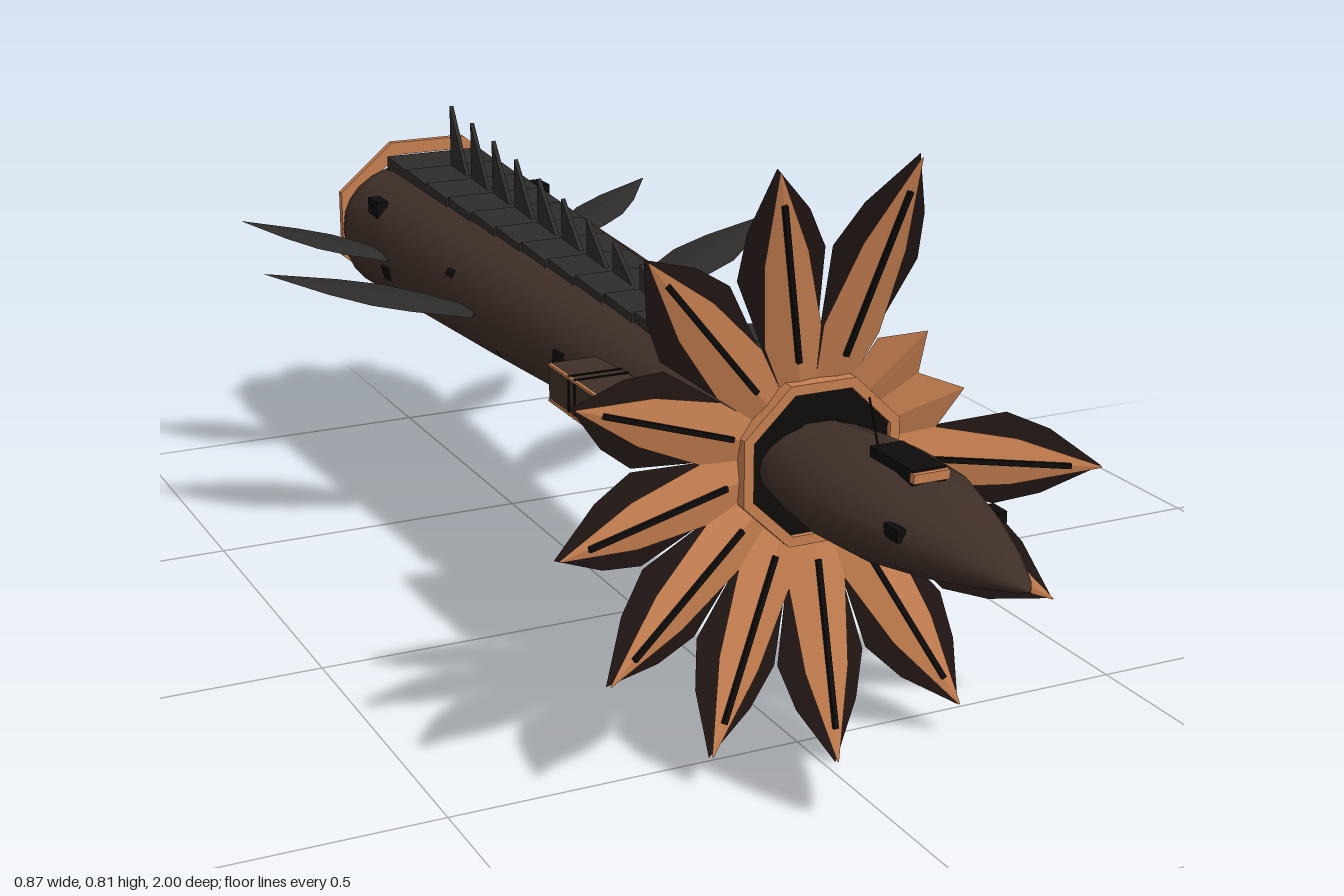
import * as THREE from 'three';

const AXIS = 0.405; // height of the hull's long axis
const paint = (color, flat = true) =>
  new THREE.MeshStandardMaterial({ color, flatShading: flat, side: THREE.DoubleSide });
const hullMat = paint(0x3f2f28, false);
const podMat = paint(0x3f2f28);
const copper = paint(0xc67f50);
const plate = paint(0x2d2c2b);
const shell = paint(0x201513);
const black = paint(0x0e0c0b);

// Hull stations: z, half width, bottom y, top y
const HULL = [
  [-0.9, 0.163, 0.292, 0.515], [-0.85, 0.177, 0.285, 0.52], [-0.6, 0.169, 0.294, 0.515],
  [-0.3, 0.156, 0.306, 0.503], [0, 0.138, 0.319, 0.49], [0.25, 0.112, 0.335, 0.474], [0.5, 0.083, 0.353, 0.452],
];
const NOSE = [
  [0.5, 0.085, 0.353, 0.455], [0.57, 0.098, 0.346, 0.463], [0.65, 0.105, 0.342, 0.469], [0.74, 0.097, 0.345, 0.47],
  [0.84, 0.07, 0.361, 0.454], [0.92, 0.042, 0.38, 0.434], [0.98, 0.015, 0.396, 0.415], [1, 0.001, 0.404, 0.406],
];

function add(parent, name, geometry, material, x = 0, y = 0, z = 0) {
  const mesh = new THREE.Mesh(geometry, material);
  mesh.name = name;
  mesh.position.set(x, y, z);
  parent.add(mesh);
  return mesh;
}
const box = (w, h, d) => new THREE.BoxGeometry(w, h, d);

// Skin over stations [z, half width, bottom, top]; power 2 is an ellipse, 1 a diamond
function loft(stations, sides, power = 2) {
  const pos = [], idx = [];
  const curve = (v) => Math.sign(v) * Math.pow(Math.abs(v), 2 / power);
  for (const [z, w, lo, hi] of stations) {
    for (let j = 0; j < sides; j++) {
      const t = (j / sides) * Math.PI * 2;
      pos.push(w * curve(Math.cos(t)), (lo + hi) / 2 + ((hi - lo) / 2) * curve(Math.sin(t)), z);
    }
  }
  for (let i = 0; i + 1 < stations.length; i++) {
    for (let j = 0; j < sides; j++) {
      const k = (j + 1) % sides, a = i * sides, b = a + sides;
      idx.push(a + j, a + k, b + k, a + j, b + k, b + j);
    }
  }
  const g = new THREE.BufferGeometry();
  g.setAttribute('position', new THREE.Float32BufferAttribute(pos, 3));
  g.setIndex(idx);
  g.computeVertexNormals();
  return g;
}

// Creased leaf along +x from [radius, half width] pairs, leaning forward as it grows
function leaf(profile, lift, length = 1) {
  const pos = [], idx = [];
  for (const [r, w] of profile) {
    const z = 0.502 + (r - 0.1) * 0.255 + lift;
    pos.push(r * length, -w, z - w * 0.2, r * length, 0, z, r * length, w, z - w * 0.2);
  }
  for (let i = 0; i + 1 < profile.length; i++) {
    for (let j = 0; j < 2; j++) {
      const a = i * 3 + j, b = a + 3;
      idx.push(a, b, b + 1, a, b + 1, a + 1);
    }
  }
  const g = new THREE.BufferGeometry();
  g.setAttribute('position', new THREE.Float32BufferAttribute(pos, 3));
  g.setIndex(idx);
  g.computeVertexNormals();
  return g;
}

// Eight-sided flat-topped band around the z axis
function band(outer, inner, depth) {
  const d = depth / 2;
  const p = [[inner, -d], [outer, -d], [outer, d], [inner, d], [inner, -d]].map(([x, y]) => new THREE.Vector2(x, y));
  return new THREE.LatheGeometry(p, 8, Math.PI / 8).rotateX(Math.PI / 2);
}

// Interpolated hull station
function hullAt(z) {
  let i = 0;
  while (i < HULL.length - 2 && HULL[i + 1][0] < z) i++;
  const a = HULL[i], b = HULL[i + 1], t = (z - a[0]) / (b[0] - a[0]);
  return a.map((v, k) => v + (b[k] - v) * t);
}

function addPetals(ship) {
  const step = (Math.PI * 2) / 13;
  for (let k = 0; k < 13; k++) {
    const petal = new THREE.Group();
    petal.name = 'petal' + (k + 1);
    petal.position.y = AXIS;
    petal.rotation.z = -Math.PI / 2 + k * step;
    ship.add(petal);
    if (k === 4 || k === 5) { // two snapped petals
      add(petal, 'brokenPetal', leaf([[0.1, 0.027], [0.17, 0.042], [0.217, 0]], 0.005), copper);
      continue;
    }
    const length = k >= 6 && k <= 8 ? 1.045 : 1;
    add(petal, 'petalShell', leaf([[0.09, 0.022], [0.18, 0.044], [0.27, 0.064], [0.33, 0.045], [0.402, 0]], -0.004, length), shell);
    add(petal, 'petalPanel', leaf([[0.1, 0.026], [0.17, 0.042], [0.28, 0.032], [0.398, 0.001]], 0.005, length), copper);
    const rib = add(petal, 'petalRib', box(0.225 * length, 0.007, 0.006), black, 0.245 * length, 0, 0.546);
    rib.rotation.y = -Math.atan(0.255 / length);
  }
}

function addDorsal(ship) {
  // Overlapping back plates
  const count = 12, from = 0.26, len = 1.14 / count;
  for (let i = 0; i < count; i++) {
    const t = (i + 0.5) / count, z = from - len * (i + 0.5);
    const seg = add(ship, 'backPlate', box(0.1 + 0.07 * Math.min(1, t * 1.3), 0.032, len * 1.02), plate, 0, 0.47 + 0.043 * t, z);
    seg.rotation.x = 0.07;
  }
  // Row of growing spines
  for (let i = 0; i < 11; i++) {
    const t = i / 10, h = 0.03 + 0.08 * t;
    const tri = new THREE.Shape([new THREE.Vector2(0, 0), new THREE.Vector2(0.072, 0), new THREE.Vector2(0.072, h)]);
    const g = new THREE.ExtrudeGeometry(tri, { depth: 0.007, bevelEnabled: false }).translate(0, 0, -0.0035).rotateY(Math.PI / 2);
    add(ship, 'spine', g, plate, 0, 0.483 + 0.037 * t, 0.242 - 0.0955 * i);
  }
  // Turret ahead of the plates
  add(ship, 'turretBase', new THREE.CylinderGeometry(0.035, 0.045, 0.04, 8), plate, 0, 0.481, 0.335);
  add(ship, 'turretCap', new THREE.CylinderGeometry(0.046, 0.054, 0.03, 6), plate, 0, 0.514, 0.335);
  add(ship, 'turretStep', box(0.08, 0.03, 0.06), plate, 0, 0.462, 0.42);
}

function addFins(ship) {
  const outline = [[0, 0.03], [0.09, 0.054], [0.15, 0.06], [0.22, 0.044], [0.325, 0.001]];
  for (const [z, tipX, tipZ, s] of [[-0.31, 0.437, -0.465, 1], [-0.665, 0.372, -0.805, 0.8]]) {
    for (const side of [-1, 1]) {
      const g = loft(outline.map(([d, w]) => [d * s, w * s, -w * 0.12, w * 0.12]), 4, 1);
      const fin = add(ship, side > 0 ? 'leftFin' : 'rightFin', g, plate, side * 0.15, 0.405, z);
      const target = new THREE.Vector3(side * tipX, 0.462, tipZ);
      fin.parent.remove(fin);
      fin.lookAt(target);
      fin.scale.z = fin.position.distanceTo(target) / (0.325 * s);
      ship.add(fin);
    }
  }
}

function addPods(ship) {
  for (const side of [-1, 1]) {
    const pod = new THREE.Group();
    pod.name = side > 0 ? 'leftPod' : 'rightPod';
    pod.position.set(side * 0.152, 0.412, 0.17);
    ship.add(pod);
    add(pod, 'podBody', box(0.08, 0.055, 0.18), podMat);
    add(pod, 'podFace', box(0.07, 0.045, 0.006), copper, 0, 0, 0.09);
    add(pod, 'podMouth', box(0.05, 0.028, 0.006), black, 0, 0, 0.092);
    for (const y of [-0.026, 0.026]) add(pod, 'podTrim', box(0.004, 0.004, 0.176), copper, side * 0.04, y, 0);
    for (const z of [-0.02, 0]) add(pod, 'podSeam', box(0.083, 0.058, 0.004), black, 0, 0, z);
  }
  // Belly pack in three blocks
  for (let i = 0; i < 3; i++) add(ship, 'bellyPack', box(0.1, 0.05, 0.064), podMat, 0, 0.3, -0.055 - i * 0.07);
  add(ship, 'bellyPackKeel', box(0.08, 0.04, 0.2), black, 0, 0.303, -0.125);
  add(ship, 'bellyHatch', box(0.09, 0.01, 0.15), black, 0, 0.301, -0.45);
  // Small surface fittings spread around the hull
  for (let i = 0; i < 26; i++) {
    const [z, w, lo, hi] = hullAt(-0.86 + i * 0.05);
    const a = i * 2.4;
    if (Math.sin(a) > 0.75) continue;
    const f = add(ship, 'hullFitting', box(0.008, 0.014 + 0.008 * (i % 3), 0.028), black,
      w * Math.cos(a), (lo + hi) / 2 + ((hi - lo) / 2) * Math.sin(a), z);
    f.rotation.z = Math.atan2(Math.sin(a) * w, (Math.cos(a) * (hi - lo)) / 2);
  }
  for (const s of [-1, 1]) add(ship, 'sideVent', box(0.02, 0.035, 0.045), black, s * 0.148, 0.47, -0.755);
}

function addEngines(ship) {
  const ring = add(ship, 'rearRing', band(1, 0.84, 0.014), copper, 0, 0.41, -0.912);
  ring.scale.set(0.176, 0.149, 1);
  add(ship, 'rearWall', new THREE.CircleGeometry(1, 24), black, 0, 0.404, -0.902).scale.set(0.16, 0.111, 1);
  // Bells: x, y, radius
  for (const [x, y, r] of [[-0.048, 0.372, 0.043], [0.048, 0.372, 0.043], [0, 0.45, 0.04], [-0.1, 0.42, 0.032], [0.1, 0.42, 0.032]]) {
    const p = [[0.6, 0], [0.62, 0.03], [0.85, 0.05], [1, 0.1], [0.86, 0.1], [0.55, 0.04], [0, 0.035]]
      .map(([q, d]) => new THREE.Vector2(q * r, d));
    add(ship, 'engineBell', new THREE.LatheGeometry(p, 12).rotateX(-Math.PI / 2), plate, x, y, -0.9);
    add(ship, 'engineCollar', new THREE.TorusGeometry(r * 0.68, 0.004, 4, 12), copper, x, y, -0.93);
  }
}

function addNose(ship) {
  add(ship, 'nose', loft(NOSE, 20, 2), hullMat);
  add(ship, 'neckCollar', band(0.098, 0.04, 0.03), podMat, 0, AXIS, 0.492);
  const rim = add(ship, 'petalRim', band(0.123, 0.108, 0.02), copper, 0, AXIS, 0.514);
  rim.scale.y = 0.96;
  add(ship, 'rimLining', band(0.11, 0.06, 0.008), black, 0, AXIS, 0.512).scale.y = 0.96;
  add(ship, 'canopy', box(0.046, 0.03, 0.1), black, 0, 0.466, 0.73);
  add(ship, 'canopyFront', box(0.05, 0.012, 0.01), copper, 0, 0.472, 0.782);
  const mast = add(ship, 'antenna', new THREE.CylinderGeometry(0.0015, 0.0015, 0.07, 5), black, 0, 0.495, 0.65);
  mast.rotation.x = -0.4;
  for (const s of [-1, 1]) add(ship, 'noseSensor', box(0.012, 0.016, 0.03), black, s * 0.07, 0.425, 0.82);
}

export function createModel() {
  const model = new THREE.Group();
  model.name = 'starship';
  const ship = new THREE.Group();
  ship.name = 'ship';
  ship.position.x = 0.016;
  model.add(ship);
  const a = HULL[0], mid = (a[2] + a[3]) / 2;
  add(ship, 'hull', loft([[a[0], 0, mid, mid], a, ...HULL], 28, 2.3), hullMat);
  addNose(ship);
  addPetals(ship);
  addDorsal(ship);
  addFins(ship);
  addPods(ship);
  addEngines(ship);
  return model;
}
